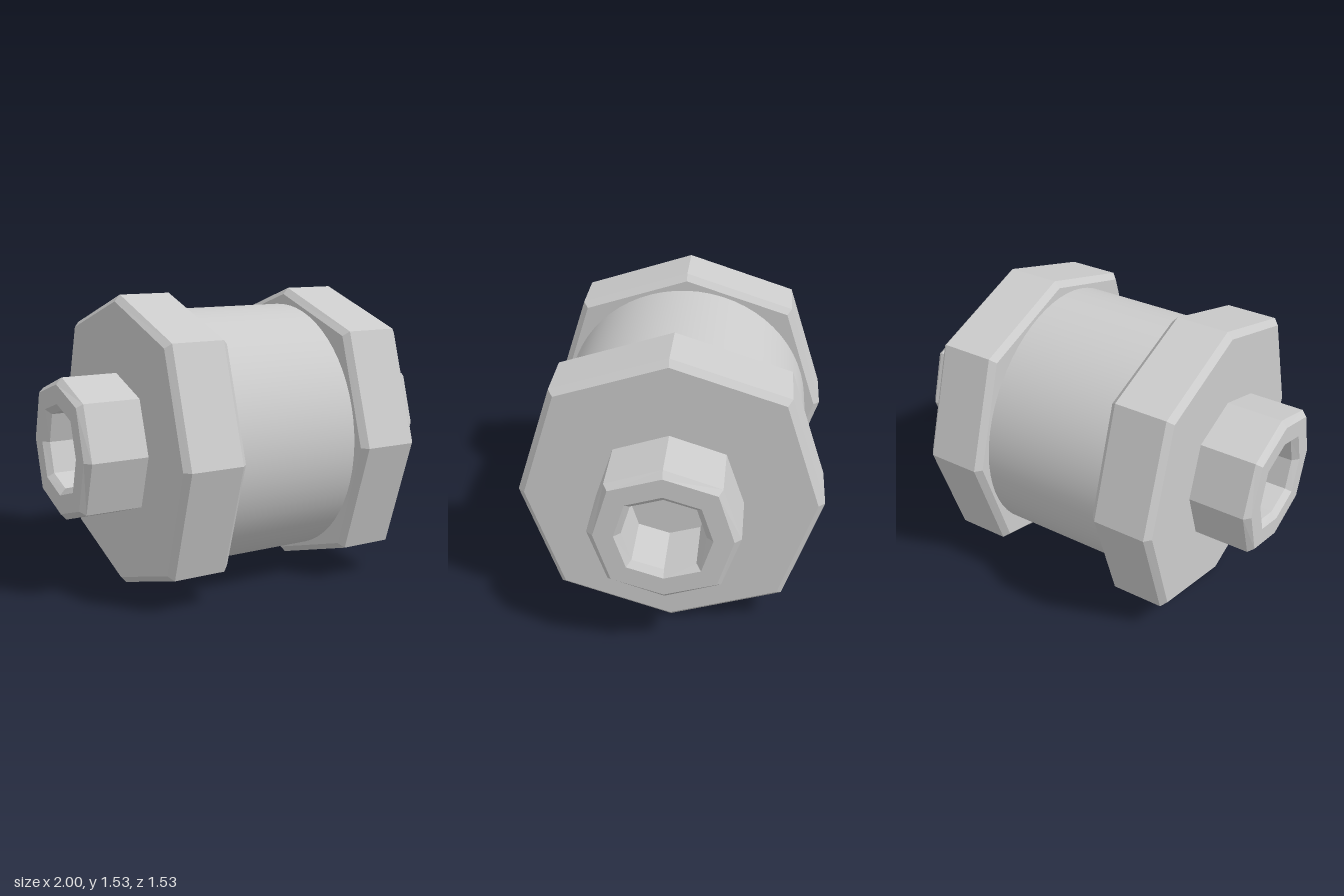
import * as THREE from 'three';

const CENTER_Y = 0.765;

// Octagonal loft along x; each ring is [x, axis-corner radius, diagonal-corner offset].
function octagonLoft(rings) {
  const corner = ([x, a, d], j) => {
    const angle = (j * Math.PI) / 4;
    const r = j % 2 ? d * Math.SQRT2 : a;
    return [x, r * Math.cos(angle), r * Math.sin(angle)];
  };
  const positions = [];
  for (let i = 0; i < rings.length - 1; i++) {
    for (let j = 0; j < 8; j++) {
      const a = corner(rings[i], j), b = corner(rings[i], j + 1);
      const c = corner(rings[i + 1], j + 1), d = corner(rings[i + 1], j);
      if (rings[i][1] > 0) positions.push(...a, ...b, ...c);
      else positions.push(...a, ...c, ...d);
      if (rings[i][1] > 0 && rings[i + 1][1] > 0) positions.push(...a, ...c, ...d);
    }
  }
  const geometry = new THREE.BufferGeometry();
  geometry.setAttribute('position', new THREE.Float32BufferAttribute(positions, 3));
  geometry.computeVertexNormals();
  return geometry;
}

export function createModel() {
  const model = new THREE.Group();
  model.name = 'spool';
  const smooth = new THREE.MeshStandardMaterial({ color: 0xcccccc });
  const flat = new THREE.MeshStandardMaterial({ color: 0xcccccc, flatShading: true });

  // Smooth round barrel between the flanges
  const barrel = new THREE.Mesh(new THREE.CylinderGeometry(0.677, 0.677, 0.7, 64), smooth);
  barrel.name = 'barrel';
  barrel.rotation.z = Math.PI / 2;
  barrel.position.y = CENTER_Y;
  model.add(barrel);

  // Octagonal flange, chamfered on both faces
  const flangeGeometry = octagonLoft([
    [0.34, 0, 0],
    [0.34, 0.732, 0.553],
    [0.37, 0.765, 0.577],
    [0.645, 0.765, 0.577],
    [0.675, 0.732, 0.553],
    [0.675, 0, 0],
  ]);

  // Octagonal hub with a chamfered rim and a socket bored into its end
  const hubGeometry = octagonLoft([
    [0.67, 0.368, 0.276],
    [0.97, 0.368, 0.276],
    [1.0, 0.335, 0.256],
    [1.0, 0.236, 0.18],
    [0.97, 0.203, 0.156],
    [0.68, 0.203, 0.156],
    [0.68, 0, 0],
  ]);

  // The two ends are the same, turned half a circle
  for (const side of ['left', 'right']) {
    const end = new THREE.Group();
    end.name = side + 'End';
    const flange = new THREE.Mesh(flangeGeometry, flat);
    flange.name = side + 'Flange';
    const hub = new THREE.Mesh(hubGeometry, flat);
    hub.name = side + 'Hub';
    end.add(flange, hub);
    end.position.y = CENTER_Y;
    if (side === 'right') end.rotation.y = Math.PI;
    model.add(end);
  }
  return model;
}
